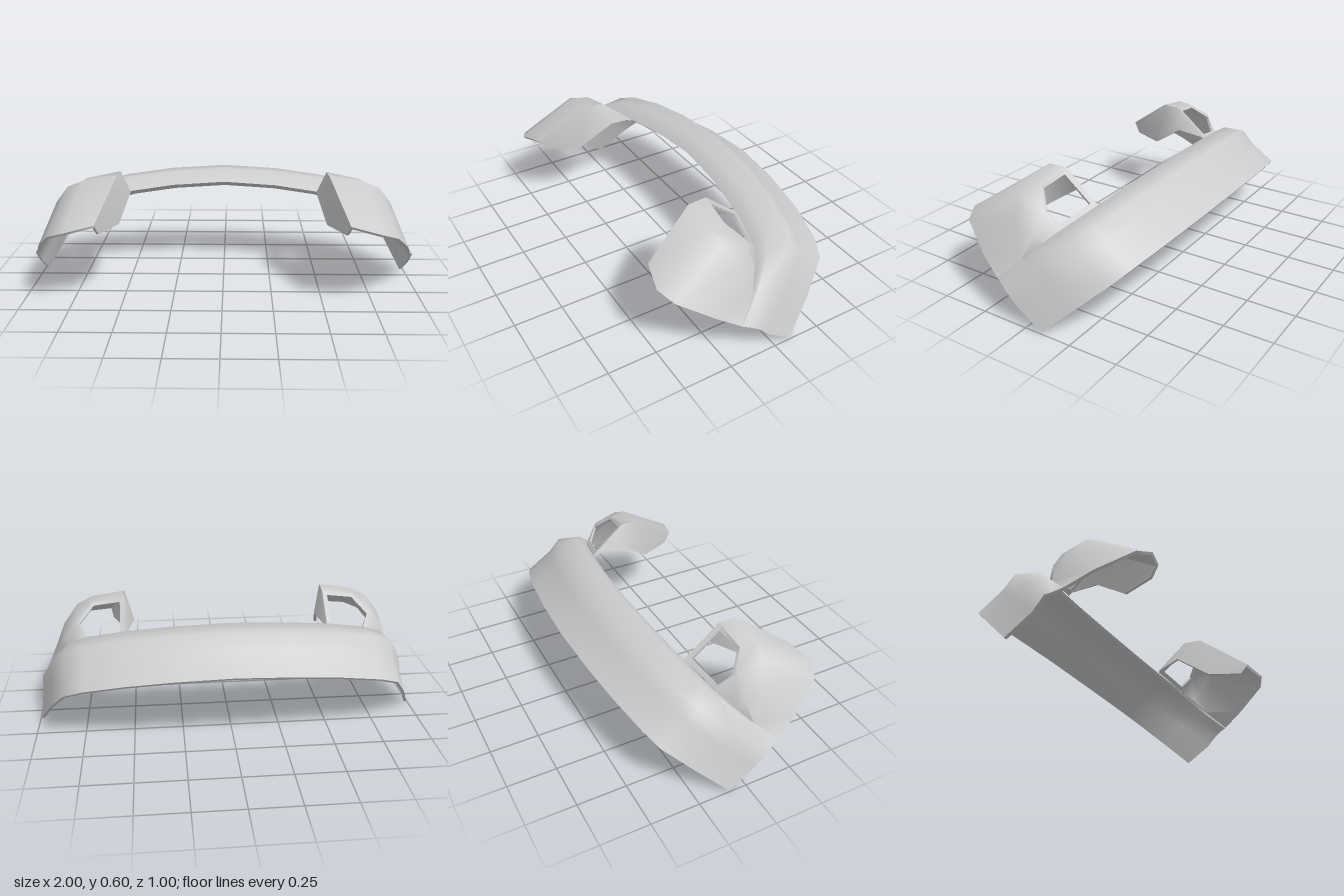
import * as THREE from 'three';
import { toCreasedNormals } from 'three/addons/utils/BufferGeometryUtils.js';

const THICKNESS = 0.014;

// Closed thin shell: outer quads, an inner copy offset along the normals, and a stitched rim
function shell(points, quads, mirrored = false) {
  const pts = points.map(([x, y, z]) => [mirrored ? -x : x, y, z]);
  const tris = [];
  for (const [a, b, c, d] of quads) {
    for (const t of [[a, b, c], [a, c, d]]) {
      if (new Set(t).size === 3) tris.push(mirrored ? [t[0], t[2], t[1]] : t);
    }
  }
  const outer = new THREE.BufferGeometry();
  outer.setAttribute('position', new THREE.Float32BufferAttribute(pts.flat(), 3));
  outer.setIndex(tris.flat());
  outer.computeVertexNormals();
  const normal = outer.getAttribute('normal');
  const n = pts.length;
  const inner = pts.map(([x, y, z], i) => [
    x - normal.getX(i) * THICKNESS,
    Math.max(0, y - normal.getY(i) * THICKNESS),
    z - normal.getZ(i) * THICKNESS,
  ]);
  const index = [...tris.flat()];
  const edges = new Set();
  for (const [a, b, c] of tris) {
    index.push(a + n, c + n, b + n);
    for (const [p, q] of [[a, b], [b, c], [c, a]]) edges.add(p + '_' + q);
  }
  for (const edge of edges) {
    const [p, q] = edge.split('_').map(Number);
    if (!edges.has(q + '_' + p)) index.push(q, p, p + n, q, p + n, q + n);
  }
  const geometry = new THREE.BufferGeometry();
  geometry.setAttribute('position', new THREE.Float32BufferAttribute([...pts, ...inner].flat(), 3));
  geometry.setIndex(index);
  return toCreasedNormals(geometry, 1.0);
}

// Quads of a regular grid whose points are stored row by row
function gridQuads(rows, cols) {
  const quads = [];
  for (let r = 0; r < rows - 1; r++) {
    for (let c = 0; c < cols - 1; c++) {
      const a = r * cols + c;
      quads.push([a, a + 1, a + cols + 1, a + cols]);
    }
  }
  return quads;
}

// Arched band: back edge swept forward, then turned in along a front flange
function bandGeometry() {
  const back = [[0, 0.39, -0.5], [0.29, 0.375, -0.485], [0.53, 0.347, -0.455], [0.74, 0.305, -0.41],
    [0.84, 0.265, -0.37], [0.925, 0.14, -0.235], [0.995, 0.004, -0.09]];
  const shoulder = [[0, 0.55, -0.19], [0.29, 0.535, -0.175], [0.52, 0.51, -0.15], [0.72, 0.465, -0.105],
    [0.82, 0.415, -0.05], [0.905, 0.31, 0.05], [0.985, 0.172, 0.135]];
  const front = [[0, 0.49, -0.13], [0.28, 0.475, -0.115], [0.51, 0.447, -0.085], [0.73, 0.405, -0.04],
    [0.83, 0.35, 0.015], [0.905, 0.285, 0.08], [0.97, 0.19, 0.18]];
  const half = back.map(([x, y, z], i) => [
    [x, y, z],
    [x, y + 0.09, z + 0.135],
    [x + (i === 6 ? 0.005 : 0), y + 0.155, z + 0.195],
    shoulder[i],
    front[i],
  ]);
  const left = half.slice(1).reverse().map((s) => s.map(([x, y, z]) => [-x, y, z]));
  const stations = [...left, ...half];
  return shell(stations.flat(), gridQuads(stations.length, 5));
}

// Pod cover: front edge, two ridge lines, and a rear face with an opening
function podGeometry(mirrored) {
  const points = [
    // front edge (0-4)
    [0.615, 0.42, 0.46], [0.76, 0.392, 0.498], [0.845, 0.362, 0.46], [0.93, 0.265, 0.3], [0.97, 0.19, 0.18],
    // front ridge (5-8)
    [0.535, 0.602, 0.2], [0.71, 0.576, 0.2], [0.79, 0.54, 0.18], [0.86, 0.45, 0.14],
    // rear ridge (9-12)
    [0.53, 0.602, 0.1], [0.7, 0.57, 0.112], [0.785, 0.5, 0.045], [0.86, 0.395, 0.05],
    // corner shared with the band (13)
    [0.905, 0.285, 0.08],
    // lower rear edge (14-16)
    [0.53, 0.45, -0.08], [0.745, 0.402, -0.035], [0.83, 0.35, 0.015],
    // opening (17-21)
    [0.557, 0.578, 0.09], [0.695, 0.556, 0.105], [0.768, 0.485, 0.03], [0.735, 0.42, -0.018], [0.557, 0.462, -0.055],
  ];
  const quads = [
    [0, 1, 6, 5], [1, 2, 7, 6], [2, 3, 8, 7], [3, 4, 13, 8],
    [5, 6, 10, 9], [6, 7, 11, 10], [7, 8, 12, 11], [8, 13, 12, 12],
    [11, 12, 16, 15], [12, 13, 16, 16],
  ];
  const rim = [9, 10, 11, 15, 14];
  rim.forEach((p, i) => {
    const j = (i + 1) % 5;
    quads.push([p, rim[j], 17 + j, 17 + i]);
  });
  return shell(points, quads, mirrored);
}

// Upright wall closing the inner side of a pod
function wallGeometry(mirrored) {
  const points = [
    [0.615, 0.42, 0.46], [0.535, 0.602, 0.2], [0.53, 0.602, 0.1], [0.53, 0.45, -0.08],
    [0.6, 0.365, 0.42], [0.525, 0.365, 0.25], [0.485, 0.485, 0.07],
  ];
  const quads = [[0, 1, 5, 4], [1, 2, 6, 5], [2, 3, 6, 6]];
  return shell(points, quads, mirrored);
}

export function createModel() {
  const model = new THREE.Group();
  model.name = 'archedShell';
  const grey = new THREE.MeshStandardMaterial({ color: 0xcccccc });
  grey.name = 'lightGrey';

  const add = (name, geometry, parent) => {
    const mesh = new THREE.Mesh(geometry, grey);
    mesh.name = name;
    parent.add(mesh);
  };

  add('archBand', bandGeometry(), model);

  for (const side of ['left', 'right']) {
    const pod = new THREE.Group();
    pod.name = side + 'Pod';
    add(side + 'PodCover', podGeometry(side === 'right'), pod);
    add(side + 'PodInnerWall', wallGeometry(side === 'right'), pod);
    model.add(pod);
  }
  return model;
}
